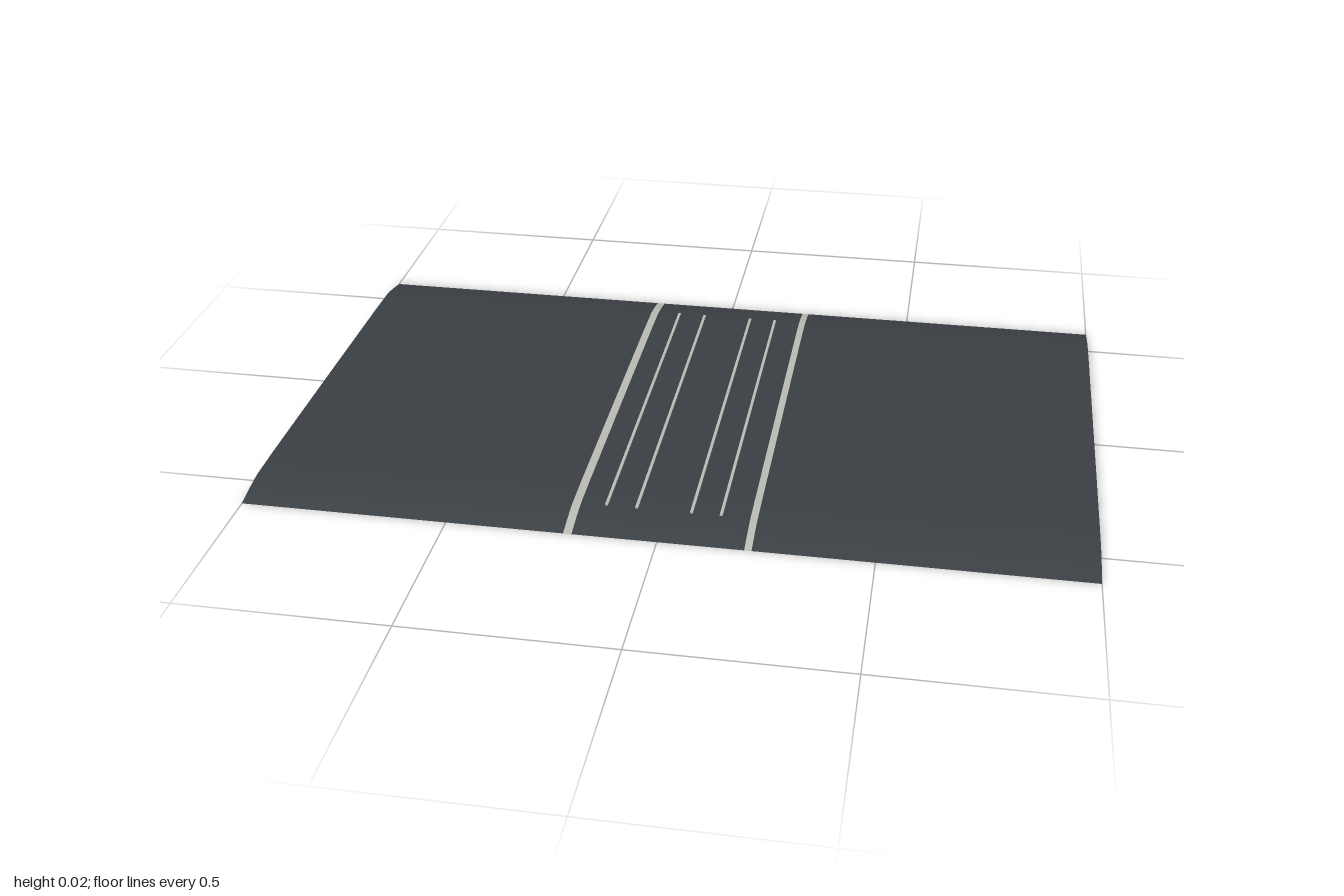
import * as THREE from 'three';

// Half cross-section of the sheet: [distance from centre, height]
const PROFILE = [[0.6, 0], [0.55, 0.011], [0.5, 0.0185], [0.4, 0.0205], [0, 0.021]];
const STATIONS = [...PROFILE.map(([z, y]) => [-z, y]), ...PROFILE.slice(0, -1).reverse()];

// Thin sheet between two x positions, with both long edges curling down
function bentSheet(x0, x1) {
  const geo = new THREE.PlaneGeometry(x1 - x0, 1, 1, STATIONS.length - 1);
  geo.rotateX(-Math.PI / 2);
  const pos = geo.attributes.position;
  for (let i = 0; i < pos.count; i++) {
    const [z, y] = STATIONS[Math.floor(i / 2)];
    pos.setXYZ(i, i % 2 ? x1 : x0, y, z);
  }
  geo.computeVertexNormals();
  return geo;
}

export function createModel() {
  const group = new THREE.Group();
  const asphalt = new THREE.MeshStandardMaterial({ color: 0x3a3f44, side: THREE.DoubleSide });
  asphalt.name = 'darkSlate';
  const paint = new THREE.MeshStandardMaterial({ color: 0xb9bbb3, side: THREE.DoubleSide });
  paint.name = 'paleGrey';

  const add = (name, geo, mat) => {
    const mesh = new THREE.Mesh(geo, mat);
    mesh.name = name;
    group.add(mesh);
    return mesh;
  };

  // Dark panels
  add('rightPanel', bentSheet(-1, -0.22), asphalt);
  add('centrePanel', bentSheet(-0.2, 0.202), asphalt);
  add('leftPanel', bentSheet(0.219, 1), asphalt);

  // Pale bands set into the sheet
  add('rightBand', bentSheet(-0.22, -0.2), paint);
  add('leftBand', bentSheet(0.202, 0.219), paint);

  // Fine raised lines on the centre panel
  for (const x of [-0.138, -0.066, 0.064, 0.134]) {
    add('fineLine', new THREE.BoxGeometry(0.007, 0.004, 1), paint).position.set(x, 0.0225, 0);
  }
  return group;
}
